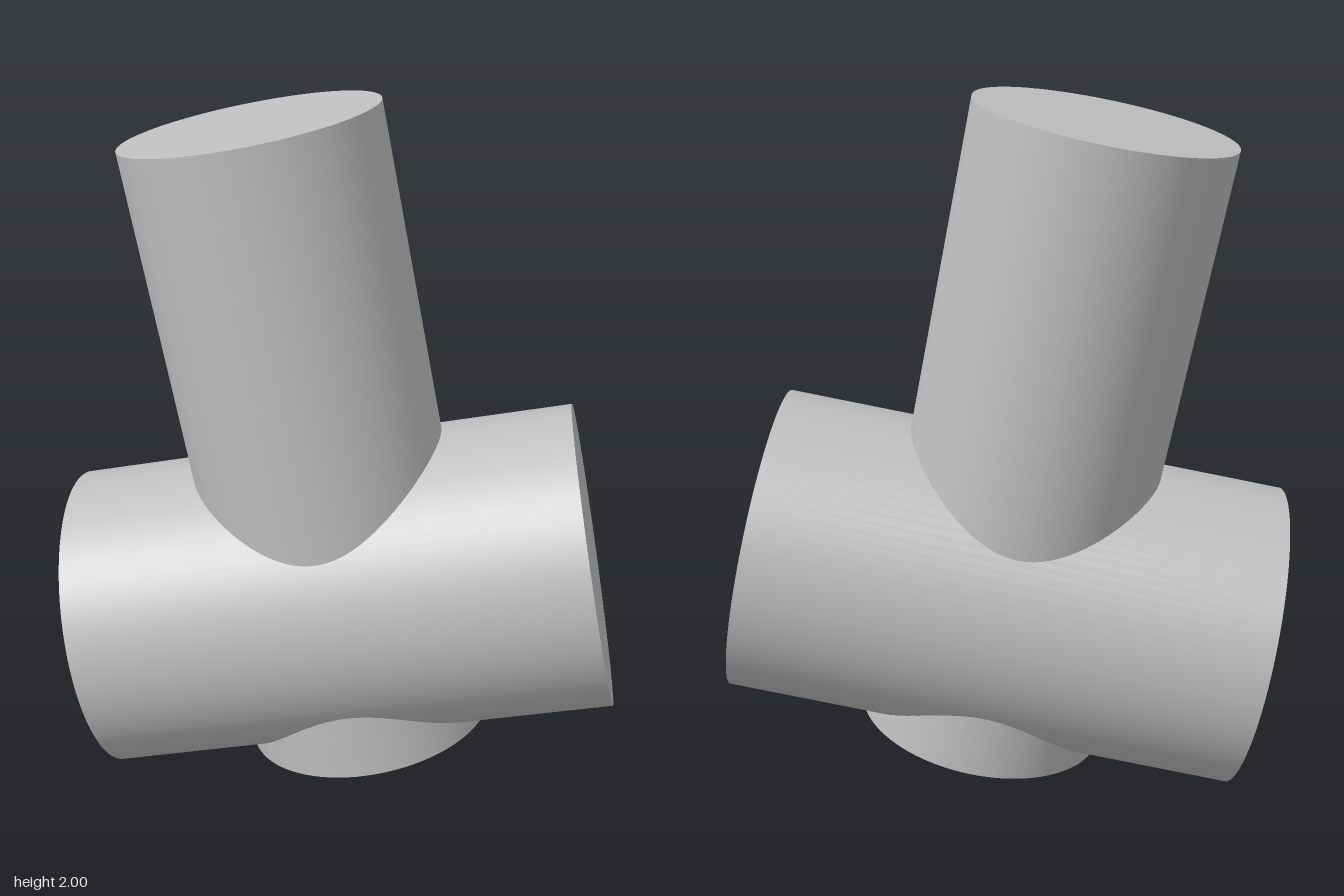
import * as THREE from 'three';

const grey = new THREE.MeshStandardMaterial({ color: 0xc0c0c0 });
grey.name = 'plain grey';

// Solid round bar running between two end-cap centres
function bar(name, from, to, radius) {
  const a = new THREE.Vector3(...from);
  const b = new THREE.Vector3(...to);
  const axis = b.clone().sub(a);
  const mesh = new THREE.Mesh(
    new THREE.CylinderGeometry(radius, radius, axis.length(), 96),
    grey
  );
  mesh.name = name;
  mesh.position.copy(a).add(b).multiplyScalar(0.5);
  mesh.quaternion.setFromUnitVectors(new THREE.Vector3(0, 1, 0), axis.normalize());
  return mesh;
}

export function createModel() {
  const model = new THREE.Group();
  model.name = 'crossedCylinders';
  // Wide bar lying diagonally, its front left end raised
  model.add(bar('crossBar', [-0.553, 0.43, -0.458], [0.553, 0.71, 0.458], 0.438));
  // Narrower upright passing through it at a right angle
  model.add(bar('upright', [0.05, 0.145, 0.065], [-0.175, 1.93, -0.205], 0.363));
  return model;
}
